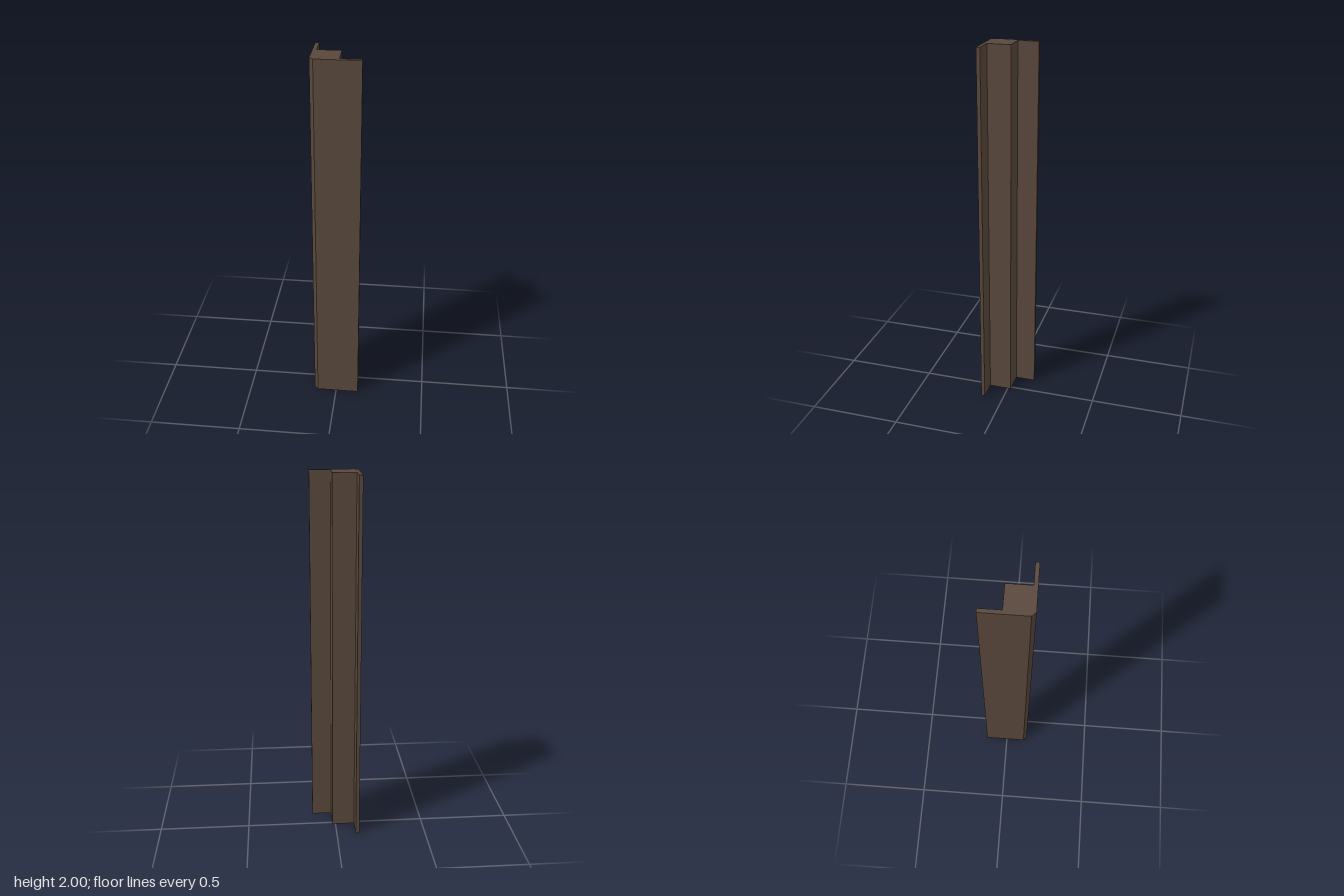
import * as THREE from 'three';

const HEIGHT = 2;
const HALF = 0.127;   // half the outer width
const INNER = 0.107;  // inner face of the thin flanges
const BLOCK = 0.017;  // inner faces of the square core

export function createModel() {
  const group = new THREE.Group();
  group.name = 'cornerPost';
  const brown = new THREE.MeshStandardMaterial({ color: 0x58473b });
  brown.name = 'dark brown';

  // Plan outline in x and z: square core, two flanges, bevelled outer corner
  const plan = [
    [-INNER, HALF], [HALF, HALF], [HALF, INNER], [BLOCK, INNER],
    [BLOCK, -BLOCK], [-INNER, -BLOCK], [-INNER, -HALF], [-HALF, -HALF],
    [-HALF, INNER],
  ];
  const shape = new THREE.Shape(plan.map(([x, z]) => new THREE.Vector2(x, -z)));

  // Extrude the plan upwards
  const geometry = new THREE.ExtrudeGeometry(shape, { depth: HEIGHT, bevelEnabled: false });
  geometry.rotateX(-Math.PI / 2);

  const post = new THREE.Mesh(geometry, brown);
  post.name = 'post';
  group.add(post);
  return group;
}
